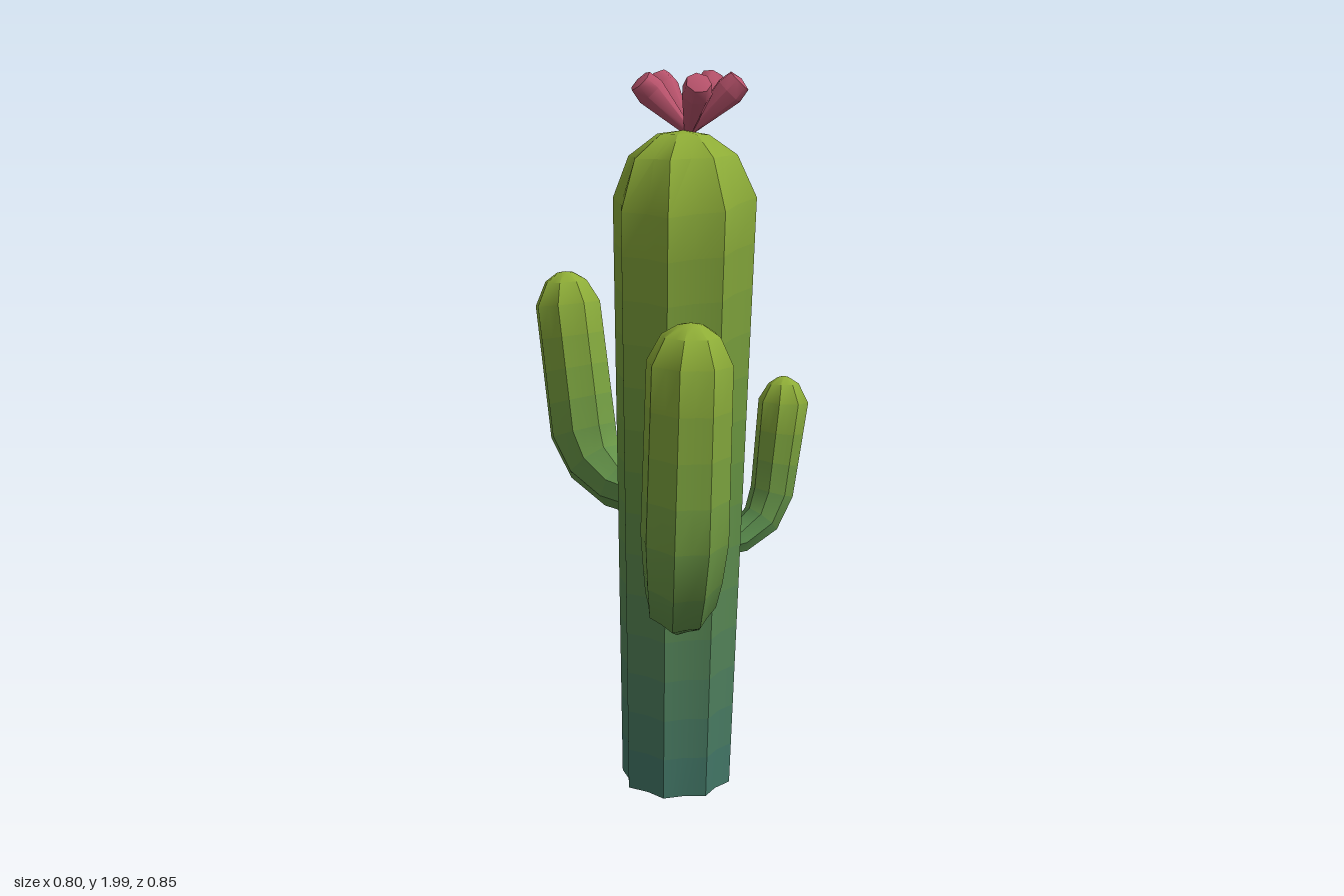
import * as THREE from 'three';
import { toCreasedNormals } from 'three/addons/utils/BufferGeometryUtils.js';

const RIBS = 8, SIDES = RIBS * 2;
const UP = new THREE.Vector3(0, 1, 0);

// One ribbed ring around each section [x, y, z, radius, tilt], square to the path
function ribbedRings(sections, valley) {
  const centres = sections.map(s => new THREE.Vector3(s[0], s[1], s[2]));
  const last = centres.length - 1;
  return sections.map(([, , , radius, tilt = 0], i) => {
    const tangent = new THREE.Vector3();
    if (i > 0) tangent.add(centres[i].clone().sub(centres[i - 1]).normalize());
    if (i < last) tangent.add(centres[i + 1].clone().sub(centres[i]).normalize());
    const turn = new THREE.Quaternion().setFromUnitVectors(UP, tangent.normalize());
    turn.premultiply(new THREE.Quaternion().setFromEuler(new THREE.Euler(tilt, 0, 0)));
    return Array.from({ length: SIDES }, (_, j) => {
      const a = (j / SIDES) * Math.PI * 2, r = radius * (j % 2 ? valley : 1);
      return new THREE.Vector3(Math.cos(a) * r, 0, Math.sin(a) * r).applyQuaternion(turn).add(centres[i]);
    });
  });
}

// Ribbed stem skinned over its rings, split into bands that shade from low to high
function stem(name, sections, valley, shades) {
  const keys = ribbedRings(sections, valley);
  const rings = [keys[0]];
  for (let i = 1; i < keys.length; i++) {
    const steps = Math.max(1, Math.ceil(Math.abs(sections[i][1] - sections[i - 1][1]) / 0.12));
    for (let k = 1; k <= steps; k++) {
      rings.push(keys[i].map((p, j) => keys[i - 1][j].clone().lerp(p, k / steps)));
    }
  }
  const points = [], materials = [];
  const geometry = new THREE.BufferGeometry();
  const base = sections[0][1], height = sections[sections.length - 1][1] - base;
  for (let i = 0; i < rings.length - 1; i++) {
    const start = points.length;
    const tip = i === rings.length - 2;
    for (let j = 0; j < SIDES; j++) {
      const n = (j + 1) % SIDES;
      const a = rings[i][j], b = rings[i][n], c = rings[i + 1][n], d = rings[i + 1][j];
      points.push(a, d, b);
      if (!tip) points.push(b, d, c);
    }
    geometry.addGroup(start, points.length - start, i);
    const t = THREE.MathUtils.clamp(((rings[i][0].y + rings[i + 1][0].y) / 2 - base) / height, 0, 1);
    const color = t < 0.5
      ? new THREE.Color(shades[0]).lerp(new THREE.Color(shades[1]), t * 2)
      : new THREE.Color(shades[1]).lerp(new THREE.Color(shades[2]), t * 2 - 1);
    materials.push(new THREE.MeshStandardMaterial({ color, side: THREE.DoubleSide }));
  }
  geometry.setFromPoints(points);
  const mesh = new THREE.Mesh(toCreasedNormals(geometry, 0.6), materials);
  mesh.name = name;
  return mesh;
}

// Five stubby petals fanning out from the crown
function flower() {
  const group = new THREE.Group();
  group.name = 'flower';
  const profile = [[0.012, 0], [0.041, 0.15], [0.034, 0.188], [0, 0.196]].map(p => new THREE.Vector2(...p));
  const geometry = toCreasedNormals(new THREE.LatheGeometry(profile, 7), 0.95);
  const material = new THREE.MeshStandardMaterial({ color: 0xb9536c, side: THREE.DoubleSide });
  [-72, -7, 67, 150, 220].forEach(degrees => {
    const a = THREE.MathUtils.degToRad(degrees);
    const petal = new THREE.Mesh(geometry, material);
    petal.name = 'petal';
    petal.quaternion.setFromUnitVectors(UP, new THREE.Vector3(Math.cos(a), 1, Math.sin(a)).normalize());
    group.add(petal);
  });
  group.position.set(0.085, 1.83, -0.14);
  return group;
}

export function createModel() {
  const model = new THREE.Group();
  model.name = 'cactus';
  const trunkShades = [0x3f7468, 0x64913f, 0x90ae36];
  const armShades = [0x588a4c, 0x78a03e, 0x90ae36];

  // Trunk, widening upwards to a domed crown
  model.add(stem('trunk', [
    [0.078, 0.004, -0.055, 0.157],
    [0.082, 1.66, -0.105, 0.196, 0.22],
    [0.075, 1.77, -0.115, 0.148, 0.08],
    [0.075, 1.825, -0.12, 0.07],
    [0.075, 1.835, -0.12, 0],
  ], 0.87, trunkShades));

  // Arms, each leaving the trunk sideways and bending upwards
  model.add(stem('frontArm', [
    [0.115, 0.56, 0.0, 0.07],
    [0.125, 0.58, 0.09, 0.078],
    [0.15, 0.65, 0.225, 0.095],
    [0.168, 0.74, 0.285, 0.105],
    [0.178, 0.85, 0.312, 0.115],
    [0.185, 1.3, 0.297, 0.111],
    [0.187, 1.37, 0.295, 0.075],
    [0.187, 1.395, 0.295, 0.035],
    [0.187, 1.402, 0.295, 0],
  ], 0.9, armShades));
  model.add(stem('rightArm', [
    [-0.03, 0.81, -0.15, 0.06],
    [-0.13, 0.82, -0.205, 0.068],
    [-0.21, 0.875, -0.25, 0.085],
    [-0.25, 0.96, -0.275, 0.1],
    [-0.308, 1.32, -0.33, 0.097],
    [-0.314, 1.385, -0.335, 0.062],
    [-0.316, 1.408, -0.336, 0.025],
    [-0.316, 1.412, -0.336, 0],
  ], 0.9, armShades));
  model.add(stem('leftArm', [
    [0.16, 0.68, -0.14, 0.036],
    [0.225, 0.69, -0.2, 0.045],
    [0.28, 0.735, -0.255, 0.055],
    [0.305, 0.81, -0.285, 0.062],
    [0.328, 1.07, -0.315, 0.071],
    [0.327, 1.12, -0.318, 0.043],
    [0.326, 1.137, -0.32, 0.016],
    [0.326, 1.141, -0.32, 0],
  ], 0.9, armShades));

  model.add(flower());
  return model;
}
